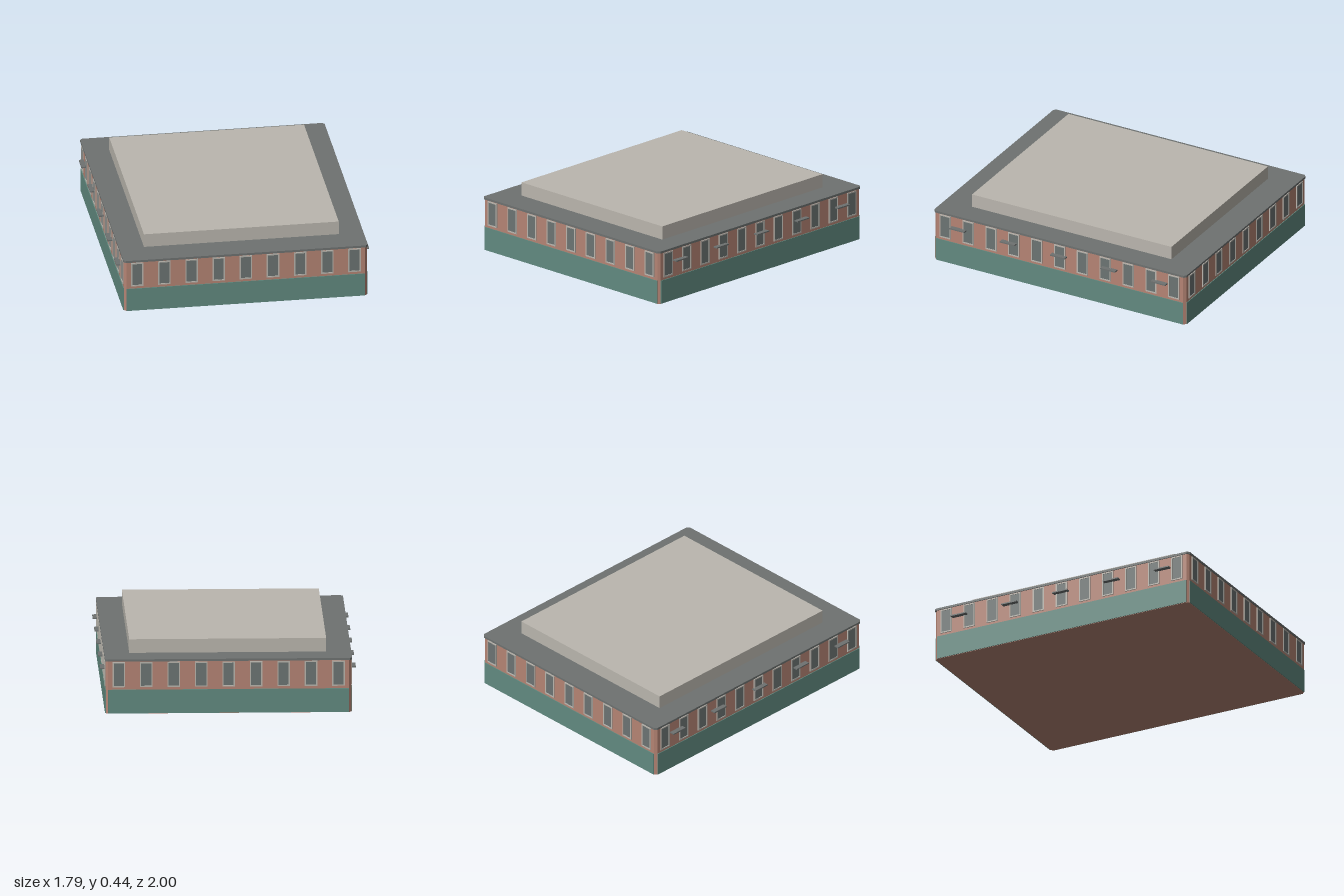
import * as THREE from 'three';

const W = 1.556, D = 1.822, BASE = 0.155, WALL = 0.338, CAP = 0.352;

function material(name, color) {
  const m = new THREE.MeshStandardMaterial({ color });
  m.name = name;
  return m;
}

// Rectangle with cut corners, extruded upwards from y0 to y1
function slab(w, d, cut, y0, y1) {
  const x = w / 2, z = d / 2;
  const shape = new THREE.Shape([
    [-x + cut, -z], [x - cut, -z], [x, -z + cut], [x, z - cut],
    [x - cut, z], [-x + cut, z], [-x, z - cut], [-x, -z + cut],
  ].map(([a, b]) => new THREE.Vector2(a, b)));
  const g = new THREE.ExtrudeGeometry(shape, { depth: y1 - y0, bevelEnabled: false });
  return g.rotateX(-Math.PI / 2).translate(0, y0, 0);
}

// Rectangular ring for the window surround
function frameGeometry(w, h, border, depth) {
  const rect = (path, a, b) => path.moveTo(-a, -b).lineTo(a, -b).lineTo(a, b).lineTo(-a, b).closePath();
  const shape = rect(new THREE.Shape(), w / 2, h / 2);
  shape.holes.push(rect(new THREE.Path(), w / 2 - border, h / 2 - border));
  return new THREE.ExtrudeGeometry(shape, { depth, bevelEnabled: false });
}

export function createModel() {
  const brick = material('brick', 0xb58474);
  const teal = material('teal cladding', 0x628a80);
  const roofGrey = material('roof grey', 0x6e7271);
  const glass = material('window glass', 0x6c7473);
  const stone = material('pale stone', 0xbab6ae);

  const model = new THREE.Group();
  model.name = 'building';
  const house = new THREE.Group();
  house.name = 'turnedBuilding';
  house.rotation.y = 0.1156;
  model.add(house);

  const add = (parent, name, geometry, mat, x = 0, y = 0, z = 0) => {
    const mesh = new THREE.Mesh(geometry, mat);
    mesh.name = name;
    mesh.position.set(x, y, z);
    parent.add(mesh);
    return mesh;
  };

  // Main volume, flat roof and raised roof block
  add(house, 'brickWalls', slab(W, D, 0.015, 0, WALL), brick);
  add(house, 'flatRoof', slab(W + 0.01, D + 0.01, 0.015, WALL, CAP), roofGrey);
  add(house, 'roofBlock', new THREE.BoxGeometry(1.248, 0.09, 1.449), stone, 0, CAP + 0.043, 0);

  const frame = frameGeometry(0.08, 0.162, 0.008, 0.006);
  const pane = new THREE.BoxGeometry(0.066, 0.148, 0.003);
  const shade = new THREE.BoxGeometry(0.107, 0.008, 0.032);

  // One facade: cladding, a row of windows and optional sunshades
  function facade(name, angle, length, offset, count, spacing, hasShades) {
    const side = new THREE.Group();
    side.name = name;
    side.rotation.y = angle;
    house.add(side);
    add(side, 'lowerCladding', new THREE.BoxGeometry(length - 0.03, BASE - 0.002, 0.008),
      teal, 0, BASE / 2 + 0.001, offset + 0.001);
    for (let i = 0; i < count; i++) {
      const x = (i - (count - 1) / 2) * spacing;
      add(side, 'windowFrame', frame, stone, x, 0.253, offset);
      add(side, 'windowPane', pane, glass, x, 0.253, offset + 0.001);
    }
    if (hasShades) {
      for (let i = -2; i <= 2; i++) {
        add(side, 'sunshade', shade, roofGrey, i * 0.365, 0.265, offset + 0.016);
      }
    }
  }
  facade('frontFacade', 0, W, D / 2, 9, 0.174, false);
  facade('backFacade', Math.PI, W, D / 2, 9, 0.174, false);
  facade('leftFacade', Math.PI / 2, D, W / 2, 11, 0.166, true);
  facade('rightFacade', -Math.PI / 2, D, W / 2, 11, 0.166, true);

  return model;
}
